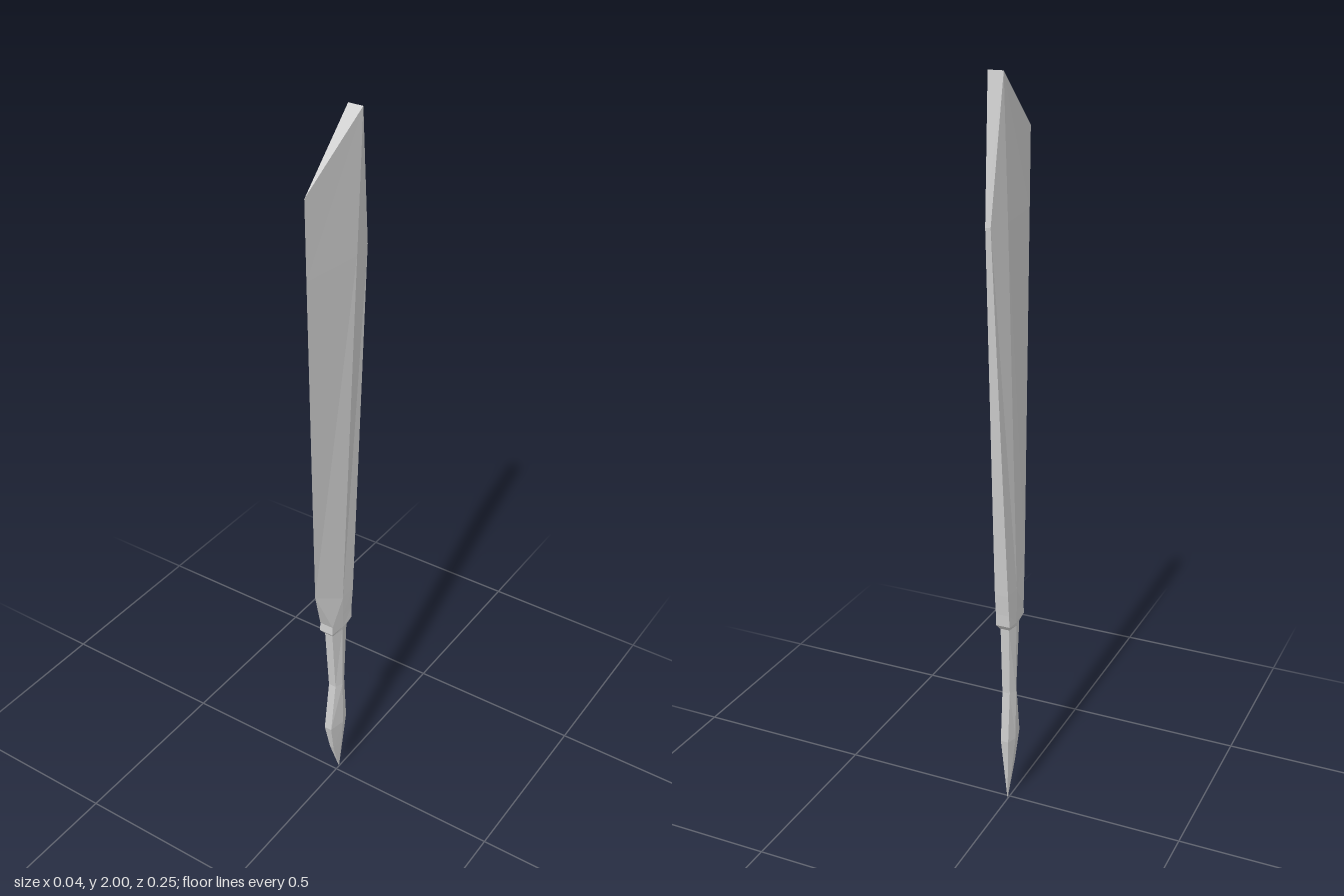
import * as THREE from 'three';

// Each section is the +x half of a six-sided ring: front, ridge and back points [x, y, z], mirrored to -x.
function loft(name, sections) {
  const rings = sections.map((half) => {
    const right = half.map((p) => new THREE.Vector3(...p));
    const left = right.map((p) => new THREE.Vector3(-p.x, p.y, p.z)).reverse();
    return [...right, ...left];
  });
  const pos = [];
  const tri = (a, b, c) => {
    if (new THREE.Triangle(a, b, c).getArea() > 1e-8) {
      for (const p of [a, b, c]) pos.push(p.x, p.y, p.z);
    }
  };
  for (let i = 0; i < rings.length - 1; i++) {
    const lo = rings[i], hi = rings[i + 1];
    for (let j = 0; j < 6; j++) {
      const k = (j + 1) % 6;
      if (j < 3) {
        tri(lo[j], lo[k], hi[k]);
        tri(lo[j], hi[k], hi[j]);
      } else { // mirrored diagonal
        tri(lo[j], lo[k], hi[j]);
        tri(lo[k], hi[k], hi[j]);
      }
    }
  }
  // End caps
  const bottom = rings[0], top = rings[rings.length - 1];
  for (let j = 1; j < 5; j++) {
    tri(top[0], top[j], top[j + 1]);
    tri(bottom[0], bottom[j + 1], bottom[j]);
  }
  const geometry = new THREE.BufferGeometry();
  geometry.setAttribute('position', new THREE.Float32BufferAttribute(pos, 3));
  geometry.computeVertexNormals();
  const material = new THREE.MeshStandardMaterial({ color: 0xcccccc, flatShading: true });
  const mesh = new THREE.Mesh(geometry, material);
  mesh.name = name;
  return mesh;
}

export function createModel() {
  const group = new THREE.Group();
  group.name = 'blade weapon';

  // Broad blade: sharp front edge, thick ridge, narrow flat spine and slanted tip
  group.add(loft('blade', [
    [[0.014, 0.55, 0.038], [0.02, 0.55, 0], [0.014, 0.55, -0.032]],
    [[0.02, 0.565, 0.05], [0.021, 0.56, 0], [0.02, 0.565, -0.044]],
    [[0.02, 0.59, 0.048], [0.021, 0.6, 0], [0.019, 0.6, -0.046]],
    [[0, 0.72, 0.1], [0.021, 0.66, 0], [0.019, 0.66, -0.052]],
    [[0, 1.65, 0.121], [0.021, 1.65, -0.055], [0.007, 1.65, -0.122]],
    [[0, 1.85, 0.125], [0.02, 2, -0.076], [0.02, 2, -0.076]],
  ]));

  // Waisted grip ending in a pointed pommel
  const grip = [ // y, front z, ridge z, back z, ridge x, front and back x
    [0, -0.014, -0.014, -0.014, 0, 0],
    [0.11, 0.024, -0.008, -0.025, 0.012, 0.006],
    [0.2, 0.043, -0.004, -0.034, 0.02, 0.011],
    [0.35, 0.021, -0.002, -0.023, 0.02, 0.011],
    [0.555, 0.038, 0, -0.032, 0.02, 0.012],
  ];
  group.add(loft('grip', grip.map(([y, f, m, b, w, n]) => [[n, y, f], [w, y, m], [n, y, b]])));

  return group;
}
